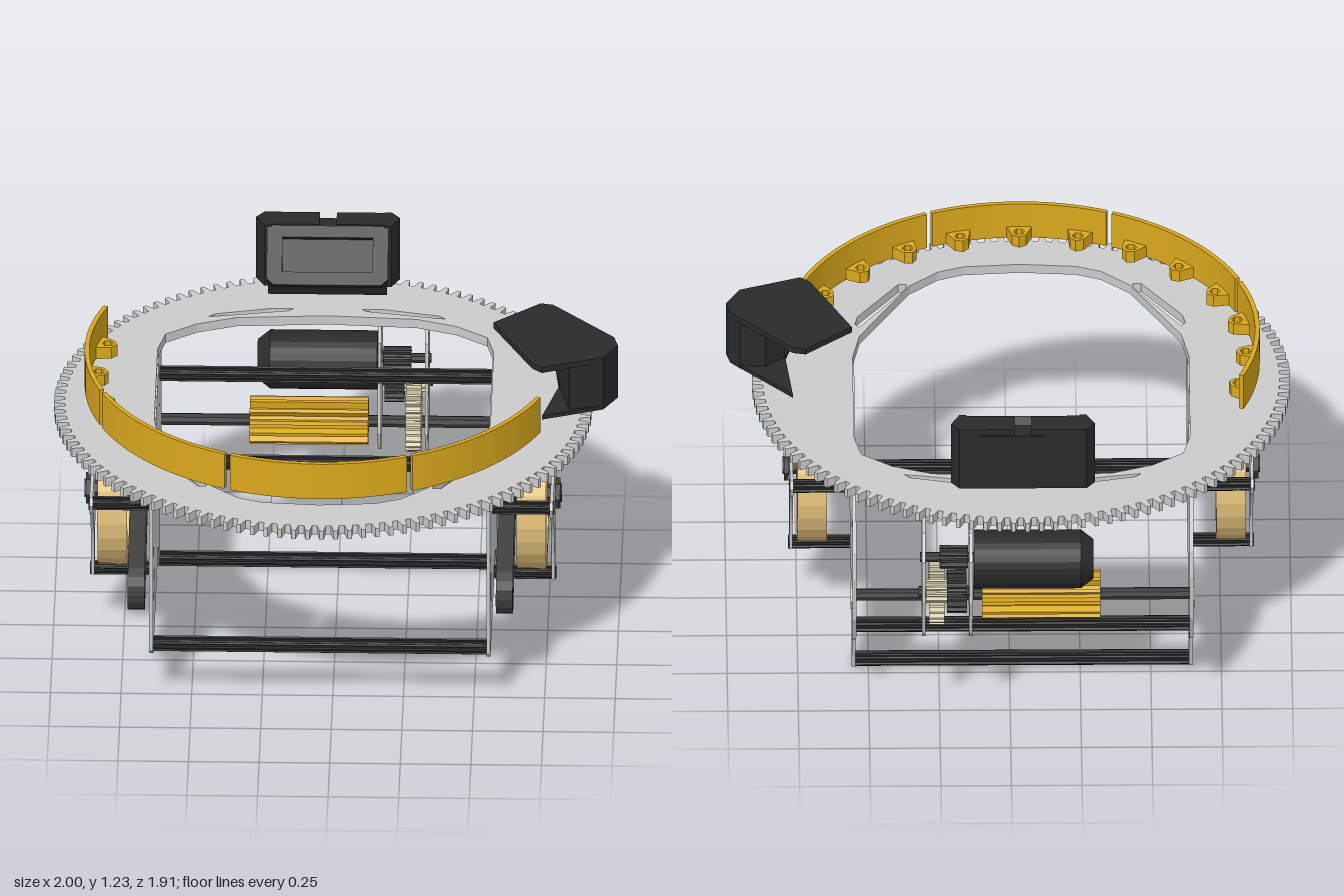
import * as THREE from 'three';

const CX = -0.045; // mirror plane of the chassis
const mat = (color) => new THREE.MeshStandardMaterial({ color, flatShading: true });
const GREY = mat(0xcccccc), BLACK = mat(0x2a2a2a), DARK = mat(0x3c3c3c);
const GOLD = mat(0xd9a81c), TAN = mat(0xe3c37c), BONE = mat(0xd8cfae);

const pts = (a) => a.map(([x, y]) => new THREE.Vector2(x, y));
const poly = (a) => new THREE.Shape(pts(a));
const ngon = (x, y, r, n = 6, turn = 0) => pts(Array.from({ length: n }, (_, i) => {
  const t = turn + (i / n) * Math.PI * 2;
  return [x + r * Math.cos(t), y + r * Math.sin(t)];
}));
const withHoles = (shape, ...holes) => {
  holes.forEach((h) => shape.holes.push(new THREE.Path(h)));
  return shape;
};

// Toothed outline around (x, y)
function gearShape(x, y, rIn, rOut, teeth) {
  const a = [];
  for (let i = 0; i < teeth; i++) {
    [[0, rIn], [0.4, rIn], [0.55, rOut], [0.85, rOut]].forEach(([f, r]) => {
      const t = ((i + f) / teeth) * Math.PI * 2;
      a.push([x + r * Math.cos(t), y + r * Math.sin(t)]);
    });
  }
  return poly(a);
}

export function createModel() {
  const root = new THREE.Group();

  const add = (name, geo, material, x = 0, y = 0, z = 0) => {
    const m = new THREE.Mesh(geo, material);
    m.name = name;
    m.position.set(x, y, z);
    root.add(m);
    return m;
  };
  const extrude = (shape, depth) => new THREE.ExtrudeGeometry(shape, { depth, bevelEnabled: false, curveSegments: 10 }).translate(0, 0, -depth / 2);
  // Upright plate: outline in (z, y), thickness along x
  const upright = (name, shape, x, t, m) => add(name, extrude(shape, t).rotateY(-Math.PI / 2), m, x);
  // Flat plate: outline in (x, z), thickness along y
  const flat = (name, shape, y0, y1, m) => add(name, extrude(shape, y1 - y0).rotateX(Math.PI / 2), m, 0, (y0 + y1) / 2);
  const rod = (name, x0, x1, y, z, r, m = BLACK, sides = 8) =>
    add(name, new THREE.CylinderGeometry(r, r, Math.abs(x1 - x0), sides).rotateZ(Math.PI / 2), m, (x0 + x1) / 2, y, z);
  const slotted = (name, x0, x1, y, z, r = 0.028) =>
    upright(name, gearShape(z, y, r * 0.72, r, 8), (x0 + x1) / 2, Math.abs(x1 - x0), BLACK);

  // Toothed deck ring with a large opening and slanted slots
  const half = [[0, 0.76], [0.2, 0.745], [0.29, 0.71], [0.39, 0.62], [0.5, 0.42], [0.57, 0.29], [0.595, 0.15],
    [0.595, -0.38], [0.57, -0.49], [0.46, -0.57], [0.32, -0.62], [0, -0.64]];
  const opening = [...half, ...half.slice(1, -1).reverse().map(([x, z]) => [-x, z])];
  const slots = [1, -1].flatMap((s) => [
    [[0.57, 0.35], [0.585, 0.37], [0.575, 0.42], [0.43, 0.63], [0.4, 0.63], [0.405, 0.6]],
    [[0.42, -0.625], [0.4, -0.645], [0.2, -0.69], [0.12, -0.69], [0.14, -0.675], [0.3, -0.645]],
  ].map((slot) => pts(slot.map(([x, z]) => [CX + s * x, z]))));
  flat('toothedDeckRing', withHoles(gearShape(CX, 0, 0.915, 0.953, 120),
    pts(opening.map(([x, z]) => [CX + x, z])), ...slots), 0.875, 0.91, GREY);

  // Bumper arcs, each with three holed lugs
  for (let k = 0; k < 4; k++) {
    const mid = Math.PI - k * Math.PI / 4, w = 0.38;
    const arc = new THREE.Shape();
    arc.absarc(CX, 0, 0.845, mid - w, mid + w, false);
    arc.absarc(CX, 0, 0.828, mid + w, mid - w, true);
    flat('bumperArc', arc, 0.98, 1.12, GOLD);
    [-0.265, 0, 0.265].forEach((d) => {
      const at = (r, t) => [CX + r * Math.cos(mid + d + t), r * Math.sin(mid + d + t)];
      const lug = poly([at(0.832, -0.055), at(0.832, 0.055), at(0.775, 0.032), at(0.76, 0), at(0.775, -0.032)]);
      flat('bumperLug', withHoles(lug, ngon(...at(0.795, 0), 0.02)), 0.98, 1.025, GOLD);
    });
  }

  // Side plates, wheels and outer brackets, mirrored
  const plate = [[0.55, 0.875], [-0.41, 0.875], [-0.64, 0.815], [-0.73, 0.77], [-0.78, 0.68], [-0.8, 0.58], [-0.78, 0.4],
    [-0.72, 0.28], [-0.58, 0.22], [-0.53, 0.16], [-0.49, 0.02], [-0.45, 0], [-0.41, 0.02], [-0.36, 0.11], [-0.28, 0.18],
    [0.53, 0.18], [0.57, 0.21], [0.57, 0.85]];
  const bracket = new THREE.Shape();
  bracket.moveTo(0.31, 0.685);
  bracket.quadraticCurveTo(0, 0.635, -0.31, 0.685);
  bracket.lineTo(-0.33, 0.66);
  bracket.lineTo(-0.31, 0.62);
  bracket.quadraticCurveTo(-0.06, 0.52, -0.035, 0.225);
  bracket.lineTo(0, 0.205);
  bracket.lineTo(0.035, 0.225);
  bracket.quadraticCurveTo(0.06, 0.52, 0.31, 0.62);
  bracket.lineTo(0.33, 0.66);
  withHoles(bracket, ngon(0, 0.555, 0.035));

  // Tensioned belt loop between wheel hub and idler
  const slope = Math.atan2(0.555 - 0.395, -0.42);
  const beltLoop = (r) => [...Array.from({ length: 9 }, (_, i) => [0, 0.555, slope - Math.PI / 2 + i * Math.PI / 8]),
    ...Array.from({ length: 9 }, (_, i) => [0.42, 0.395, slope + Math.PI / 2 + i * Math.PI / 8])]
    .map(([z, y, t]) => [z + r * Math.cos(t), y + r * Math.sin(t)]);

  [1, -1].forEach((s) => {
    const X = (off) => CX + s * off;
    upright('sidePlate', withHoles(poly(plate), ngon(0.42, 0.395, 0.065), ngon(0.47, 0.55, 0.03, 4),
      ngon(-0.51, 0.625, 0.025, 3), ngon(-0.51, 0.33, 0.03, 3), ngon(-0.7, 0.46, 0.035),
      ngon(0.35, 0.85, 0.012, 3), ngon(0.07, 0.85, 0.012, 3)), X(0.597), 0.014, GREY);
    upright('driveBelt', withHoles(poly(beltLoop(0.088)), pts(beltLoop(0.07))), X(0.652), 0.06, DARK);
    rod('wheelPulley', X(0.622), X(0.682), 0.555, 0, 0.07, DARK, 14);

    // Wheel: rim, spokes, hub
    upright('wheelRim', withHoles(poly(ngon(0, 0.555, 0.27, 28).map((p) => [p.x, p.y])), ngon(0, 0.555, 0.215, 28)), X(0.742), 0.105, TAN);
    rod('wheelHub', X(0.69), X(0.795), 0.555, 0, 0.075, TAN, 16);
    for (let i = 0; i < 6; i++) {
      const t = Math.PI / 2 + i * Math.PI / 3;
      const spoke = add('wheelSpoke', new THREE.BoxGeometry(0.07, 0.17, 0.03), TAN,
        X(0.742), 0.555 + 0.145 * Math.sin(t), 0.145 * Math.cos(t));
      spoke.rotation.x = Math.PI / 2 - t;
    }
    rod('wheelAxle', X(0.575), X(0.845), 0.555, 0, 0.032, DARK, 6);
    rod('axleNut', X(0.823), X(0.84), 0.555, 0, 0.055, DARK, 6);
    rod('axleBearing', X(0.575), X(0.615), 0.555, 0, 0.035, DARK, 6);

    upright('outerBracket', bracket, X(0.815), 0.012, GREY);
    [[0.655, 0.295], [0.655, -0.295], [0.235, 0]].forEach(([y, z]) => slotted('bracketSpacer', X(0.6), X(0.825), y, z, 0.025));
    rod('shaftBearing', X(0.59), X(0.61), 0.455, -0.7, 0.05, BONE, 6);
  });

  // Cross rods tying the side plates together
  [[0.215, 0.52], [0.03, -0.45], [0.775, -0.45], [0.305, -0.66]].forEach(([y, z]) => slotted('crossRod', CX - 0.595, CX + 0.595, y, z));

  // Drive train at the rear
  rod('driveShaft', CX - 0.595, CX + 0.595, 0.455, -0.7, 0.022, DARK);
  upright('flutedRoller', gearShape(-0.7, 0.455, 0.06, 0.086, 12), -0.11, 0.42, GOLD);
  rod('motorBody', -0.25, 0.13, 0.655, -0.785, 0.105, BLACK, 28);
  add('motorEndCap', new THREE.CylinderGeometry(0.105, 0.07, 0.045, 28).rotateZ(-Math.PI / 2), BLACK, -0.272, 0.655, -0.785);
  const mount = [[-0.64, 0.8], [-0.72, 0.825], [-0.84, 0.8], [-0.91, 0.72], [-0.92, 0.56], [-0.87, 0.4], [-0.85, 0.375], [-0.64, 0.375], [-0.6, 0.46]];
  [0.14, 0.307].forEach((x) => upright('gearMountPlate', withHoles(poly(mount), ngon(-0.785, 0.665, 0.032, 8),
    ngon(-0.68, 0.7, 0.025, 8), ngon(-0.7, 0.58, 0.025, 8)), x, 0.012, GREY));
  rod('motorShaft', 0.13, 0.32, 0.665, -0.785, 0.018, DARK);
  upright('motorPinion', gearShape(-0.785, 0.665, 0.028, 0.042, 10), 0.2, 0.1, DARK);
  upright('idlerGear', gearShape(-0.83, 0.55, 0.06, 0.078, 18), 0.19, 0.07, DARK);
  upright('idlerPinion', gearShape(-0.83, 0.55, 0.028, 0.042, 10), 0.25, 0.1, BONE);
  rod('idlerShaft', 0.13, 0.325, 0.55, -0.83, 0.02, DARK);
  upright('shaftGear', gearShape(-0.7, 0.475, 0.105, 0.125, 26), 0.26, 0.055, BONE);

  // Rear housing: slanted front face with a framed recess
  upright('rearHousing', poly([[-0.64, 1.045], [-0.755, 1.185], [-0.76, 1.2], [-0.83, 1.2], [-0.83, 0.98], [-0.67, 0.98]]), CX, 0.42, BLACK);
  [1, -1].forEach((s) => {
    flat('rearHousingEnd', poly([[CX + s * 0.2, -0.83], [CX + s * 0.225, -0.83], [CX + s * 0.255, -0.79], [CX + s * 0.225, -0.73], [CX + s * 0.2, -0.73]]), 0.98, 1.225, BLACK);
    add('rearHousingTop', new THREE.BoxGeometry(0.19, 0.025, 0.09), BLACK, CX + s * 0.125, 1.2125, -0.783);
  });
  const w = 0.215;
  const frame = poly([[-w, -0.085], [-w + 0.025, -0.107], [w - 0.025, -0.107], [w, -0.085], [w, 0.107], [-w, 0.107]]);
  const face = add('rearHousingFrame', extrude(withHoles(frame, pts([[-0.16, -0.06], [0.16, -0.06], [0.16, 0.065], [-0.16, 0.065]])), 0.045), BLACK, CX, 1.125, -0.683);
  face.rotation.x = -Math.atan2(0.135, 0.165);

  // Side sensor: overhanging lid on an outboard body with a lower lip
  flat('sensorLid', poly([[0.72, -0.235], [0.765, -0.225], [0.985, 0.01], [1, 0.07], [0.95, 0.16], [0.735, 0.24], [0.7, 0.21], [0.555, -0.09]]), 1.168, 1.19, BLACK);
  flat('sensorBody', poly([[0.79, 0.02], [0.86, -0.04], [0.95, -0.03], [0.985, 0.01], [1, 0.07], [0.95, 0.16], [0.83, 0.19]]), 0.98, 1.17, BLACK);
  flat('sensorLip', poly([[0.765, -0.225], [0.985, 0.01], [1, 0.07], [0.95, 0.16], [0.735, 0.24], [0.79, 0.02]]), 0.98, 0.995, BLACK);

  return root;
}
